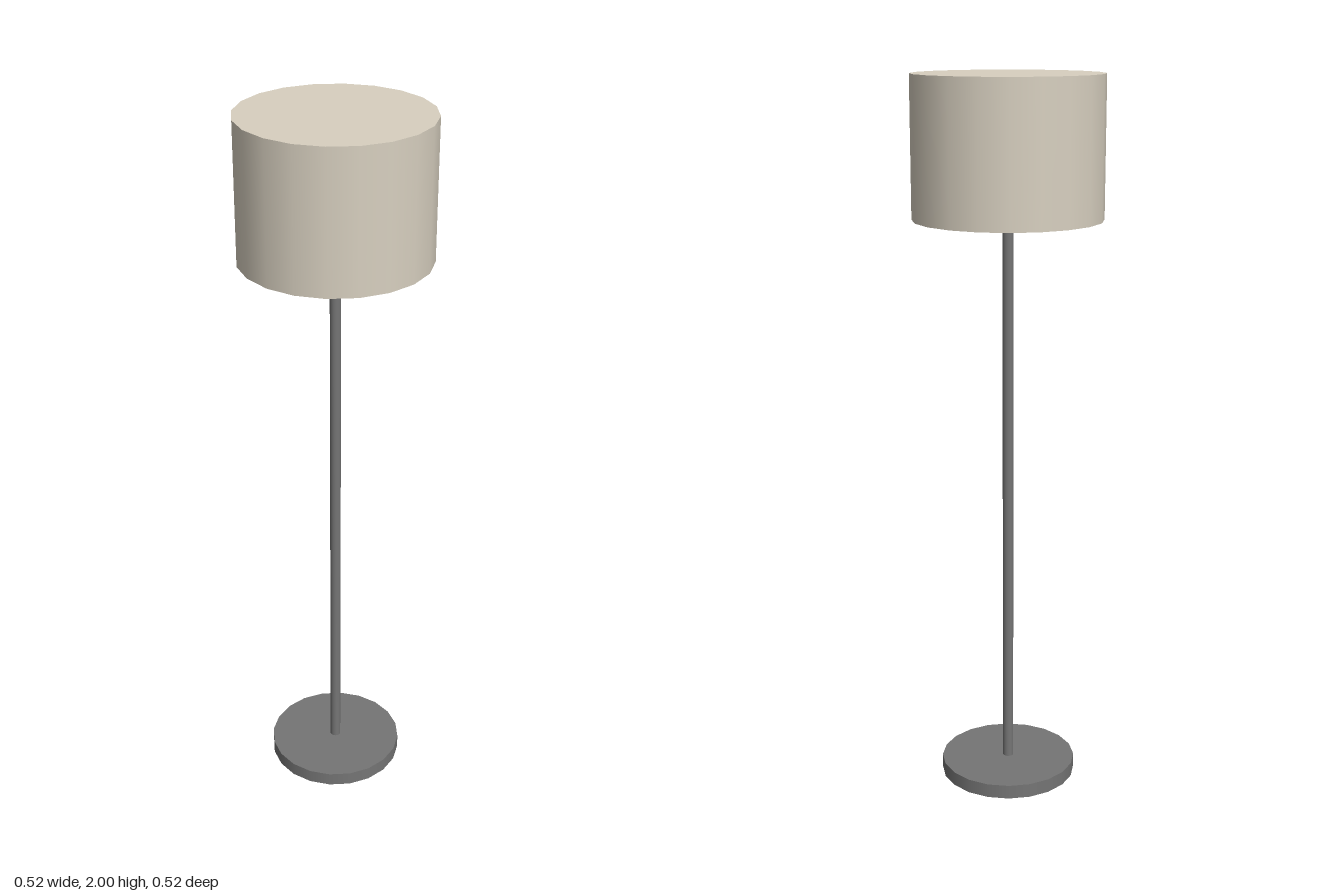
import * as THREE from 'three';

export function createModel() {
  const lamp = new THREE.Group();
  lamp.name = 'floorLamp';

  const metal = new THREE.MeshStandardMaterial({ color: 0x757575 });
  metal.name = 'grey metal';
  const fabric = new THREE.MeshStandardMaterial({ color: 0xd8d0c0, side: THREE.DoubleSide });
  fabric.name = 'cream fabric';

  const SIDES = 20;
  const add = (name, geometry, material, y) => {
    const mesh = new THREE.Mesh(geometry, material);
    mesh.name = name;
    mesh.position.y = y;
    lamp.add(mesh);
  };
  // Upright cylinder between two heights
  const addCylinder = (name, radius, y0, y1, material, sides, open = false) =>
    add(name, new THREE.CylinderGeometry(radius, radius, y1 - y0, sides, 1, open), material, (y0 + y1) / 2);

  // Weighted foot and the pole that ends just inside the shade
  addCylinder('base', 0.193, 0, 0.04, metal, SIDES);
  addCylinder('pole', 0.015, 0.002, 1.69, metal, SIDES);

  // Drum shade: thin wall, closed on top and open below
  addCylinder('shadeWall', 0.258, 1.62, 2, fabric, SIDES, true);
  const top = new THREE.CircleGeometry(0.258, SIDES).rotateX(-Math.PI / 2);
  add('shadeTop', top, fabric, 2);

  return lamp;
}
